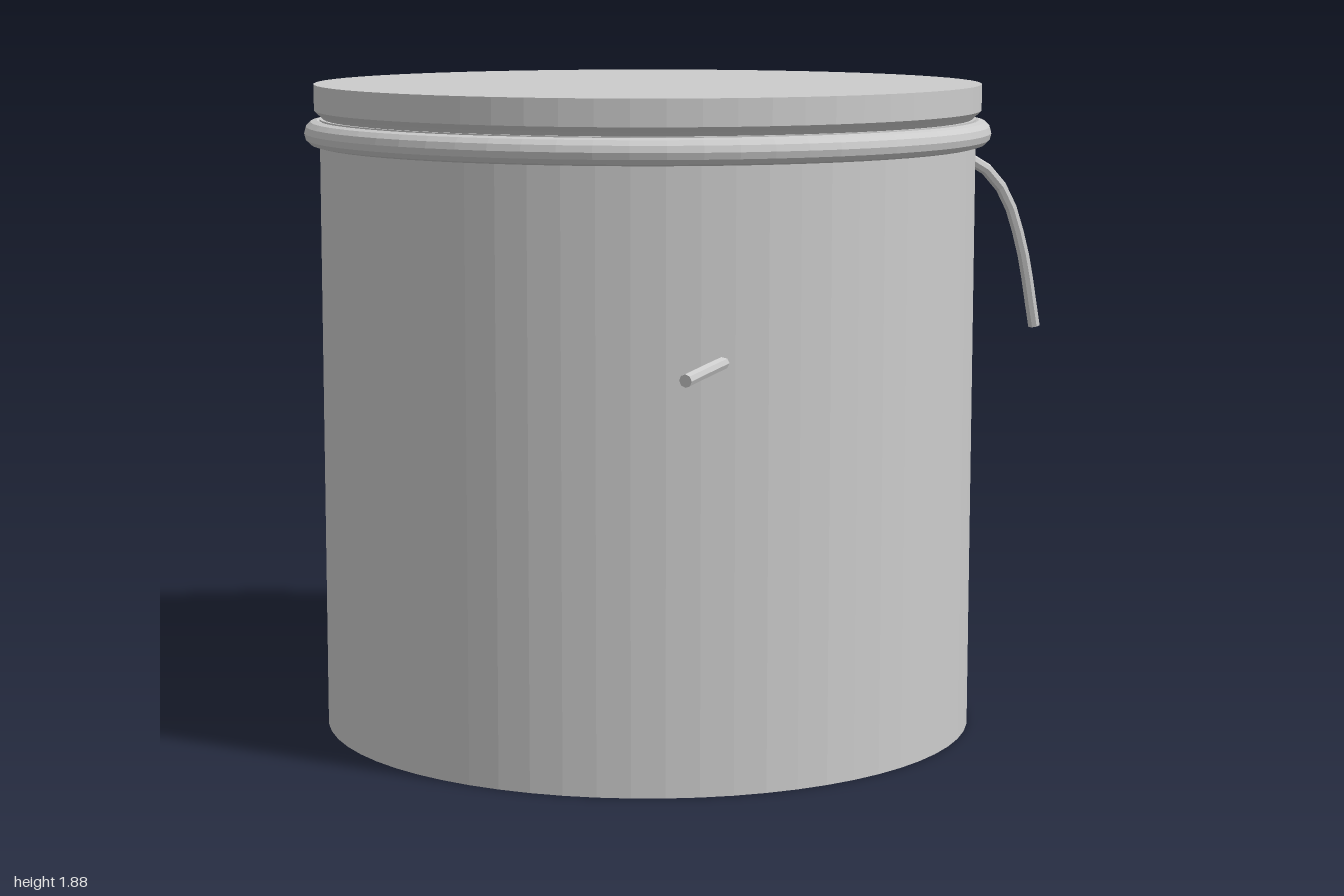
import * as THREE from 'three';

const steel = new THREE.MeshStandardMaterial({ color: 0xcccccc, flatShading: true });
steel.name = 'light grey';

function part(name, geometry, parent) {
  const mesh = new THREE.Mesh(geometry, steel);
  mesh.name = name;
  parent.add(mesh);
  return mesh;
}

// Bent round rod with a flat cap on its free end
function rod(name, points, parent) {
  const group = new THREE.Group();
  group.name = name;
  const curve = new THREE.CatmullRomCurve3(points.map(p => new THREE.Vector3(...p)));
  const radius = 0.018;
  part('rod', new THREE.TubeGeometry(curve, 8, radius, 8), group);
  const cap = part('rodEnd', new THREE.CircleGeometry(radius, 8), group);
  const end = curve.getPoint(1);
  cap.position.copy(end);
  cap.lookAt(end.clone().add(curve.getTangent(1)));
  parent.add(group);
}

export function createModel() {
  const model = new THREE.Group();
  model.name = 'canister';

  // Drum body
  part('body', new THREE.CylinderGeometry(0.955, 0.955, 1.785, 64), model).position.y = 0.8925;

  // Lid with a narrow bevel under its rim
  const lidProfile = [[0, 1.785], [0.945, 1.785], [0.955, 1.795], [0.971, 1.81], [0.971, 1.885], [0, 1.885]];
  part('lid', new THREE.LatheGeometry(lidProfile.map(p => new THREE.Vector2(...p)), 64), model);

  // Clamping ring below the lid
  const ring = part('clampRing', new THREE.TorusGeometry(0.963, 0.037, 12, 64), model);
  ring.rotation.x = Math.PI / 2;
  ring.position.y = 1.745;

  // Curved handle rod on the left, short straight rod on the right
  rod('leftHandle', [[0.54, 1.675, 0.755], [0.575, 1.655, 0.778], [0.65, 1.57, 0.812], [0.71, 1.41, 0.834], [0.77, 1.17, 0.842]], model);
  rod('rightPeg', [[-0.53, 1.185, 0.762], [-0.65, 1.175, 0.796], [-0.775, 1.164, 0.832]], model);

  return model;
}
